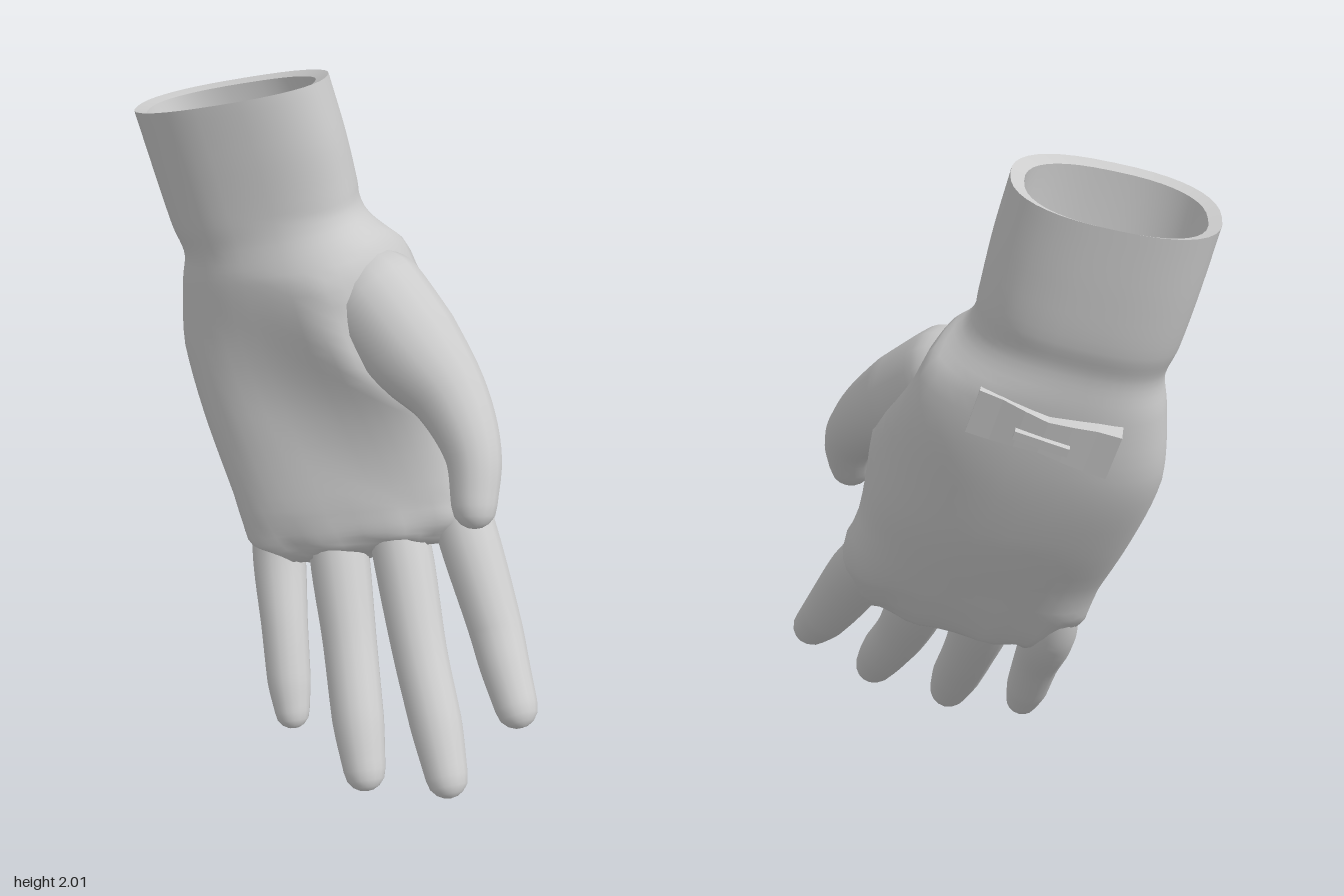
import * as THREE from 'three';

const V = (a) => new THREE.Vector3(...a);
const material = new THREE.MeshStandardMaterial({ color: 0xcccccc, roughness: 0.8 });

// Skin through rings; each ring is [centre, half width vector, half depth vector]
function loft(rings, sides, power = 1) {
  const pos = [], index = [];
  const bend = (t) => Math.sign(t) * Math.abs(t) ** power;
  for (const [c, u, v] of rings) {
    for (let j = 0; j < sides; j++) {
      const a = (j / sides) * Math.PI * 2;
      const p = c.clone().addScaledVector(u, bend(Math.cos(a))).addScaledVector(v, bend(Math.sin(a)));
      pos.push(p.x, p.y, p.z);
    }
  }
  for (let i = 0; i < rings.length - 1; i++) {
    for (let j = 0; j < sides; j++) {
      const k = (j + 1) % sides;
      const a = i * sides + j, b = i * sides + k, c = a + sides, d = b + sides;
      index.push(a, b, c, b, d, c);
    }
  }
  const g = new THREE.BufferGeometry();
  g.setAttribute('position', new THREE.Float32BufferAttribute(pos, 3));
  g.setIndex(index);
  g.computeVertexNormals();
  return g;
}

// Smooth in-between rings
function refine(rings, steps) {
  const curves = [0, 1, 2].map((k) => new THREE.CatmullRomCurve3(rings.map((r) => r[k])));
  const n = (rings.length - 1) * steps;
  return Array.from({ length: n + 1 }, (_, i) => curves.map((c) => c.getPoint(i / n)));
}

// Samples { c, t, r } along points [x, y, z, radius], closed by a rounded tip
function spine(points) {
  const path = new THREE.CatmullRomCurve3(points.map((p) => V(p)));
  const radii = new THREE.CatmullRomCurve3(points.map((p) => new THREE.Vector3(p[3], 0, 0)));
  const n = (points.length - 1) * 6;
  const list = [{ c: path.getPoint(0), t: path.getTangent(0), r: 1e-4 }];
  for (let i = 0; i <= n; i++) {
    list.push({ c: path.getPoint(i / n), t: path.getTangent(i / n), r: radii.getPoint(i / n).x });
  }
  const { c, t, r } = list.at(-1);
  for (const deg of [28, 52, 72, 90]) {
    const a = THREE.MathUtils.degToRad(deg);
    list.push({ c: c.clone().addScaledVector(t, r * Math.sin(a)), t, r: r * Math.cos(a) + 1e-4 });
  }
  return list;
}

function digit(samples) {
  const across = V([0.93, 0.15, 0.33]);
  return loft(samples.map(({ c, t, r }) => {
    const u = across.clone().addScaledVector(t, -across.dot(t)).normalize();
    const v = new THREE.Vector3().crossVectors(t, u);
    return [c, u.multiplyScalar(r), v.multiplyScalar(r * 0.97)];
  }), 16);
}

// Swell the palm where a digit grows out of it, so the joints are filleted; the cuff stays as it is
function fillet(geometry, digits) {
  const p = geometry.attributes.position, normal = geometry.attributes.normal;
  for (let i = 0; i < p.count; i++) {
    const point = new THREE.Vector3().fromBufferAttribute(p, i);
    let push = 0;
    for (const { samples, blend } of digits) {
      const d = Math.min(...samples.map((s) => s.c.distanceTo(point) - s.r));
      push = Math.max(push, (Math.max(0, 1 - Math.abs(d) / blend) ** 2 * blend) / 4);
    }
    push *= THREE.MathUtils.clamp((1.64 - point.y) / 0.18, 0, 1);
    point.addScaledVector(new THREE.Vector3().fromBufferAttribute(normal, i), push);
    p.setXYZ(i, point.x, point.y, point.z);
  }
  geometry.computeVertexNormals();
  return geometry;
}

export function createModel() {
  const group = new THREE.Group();
  const add = (name, geometry, parent = group) => {
    const m = new THREE.Mesh(geometry, material);
    m.name = name;
    parent.add(m);
    return m;
  };

  // Fingers and thumb
  const digits = [
    ['indexFinger', 0.09, [[0.28, 0.96, -0.09, 0.03], [0.34, 0.82, -0.035, 0.08], [0.38, 0.68, 0.08, 0.092],
      [0.44, 0.47, 0.27, 0.081], [0.455, 0.4, 0.35, 0.075], [0.477, 0.317, 0.447, 0.064]]],
    ['middleFinger', 0.09, [[0.13, 0.85, -0.08, 0.03], [0.165, 0.74, -0.045, 0.08], [0.19, 0.6, 0.05, 0.092],
      [0.22, 0.38, 0.24, 0.083], [0.25, 0.23, 0.39, 0.079], [0.27, 0.115, 0.5, 0.064]]],
    ['ringFinger', 0.09, [[-0.02, 0.8, -0.14, 0.03], [0, 0.69, -0.1, 0.08], [0.005, 0.56, -0.02, 0.092],
      [0.02, 0.36, 0.13, 0.083], [0.03, 0.18, 0.29, 0.079], [0.04, 0.062, 0.385, 0.064]]],
    ['littleFinger', 0.09, [[-0.17, 0.75, -0.17, 0.03], [-0.178, 0.645, -0.145, 0.07], [-0.175, 0.52, -0.095, 0.082],
      [-0.17, 0.35, 0.03, 0.072], [-0.165, 0.21, 0.12, 0.067], [-0.16, 0.13, 0.17, 0.054]]],
    ['thumb', 0.32, [[0.01, 1.47, -0.26, 0.03], [0.05, 1.44, -0.2, 0.1], [0.115, 1.38, -0.12, 0.155],
      [0.21, 1.28, 0, 0.148], [0.305, 1.18, 0.12, 0.11], [0.355, 1.06, 0.24, 0.082], [0.35, 0.94, 0.32, 0.066]]],
  ].map(([name, blend, points]) => ({ name, blend, samples: spine(points) }));
  for (const { name, samples } of digits) add(name, digit(samples));

  // Cuff, wrist and palm, from the rim down to the finger roots
  const hand = [
    [[-0.27, 1.937, -0.345], [0.265, 0.057, 0.062], [-0.05, 0.03, 0.198]],
    [[-0.225, 1.77, -0.335], [0.266, 0.062, 0.062], [-0.05, 0.03, 0.193]],
    [[-0.185, 1.61, -0.322], [0.26, 0.068, 0.06], [-0.05, 0.02, 0.186]],
    [[-0.165, 1.53, -0.305], [0.25, 0.065, 0.065], [-0.05, 0.02, 0.175]],
    [[-0.14, 1.42, -0.288], [0.282, 0.06, 0.082], [-0.05, 0.03, 0.178]],
    [[-0.09, 1.21, -0.25], [0.335, 0.06, 0.105], [-0.05, 0.04, 0.172]],
    [[-0.015, 0.98, -0.18], [0.355, 0.06, 0.085], [-0.04, 0.035, 0.16]],
    [[0.06, 0.75, -0.08], [0.35, 0.07, 0.075], [-0.03, 0.035, 0.128]],
    [[0.085, 0.655, -0.035], [0.325, 0.08, 0.08], [-0.02, 0.045, 0.098]],
    [[0.095, 0.6, -0.02], [0.265, 0.075, 0.07], [-0.01, 0.04, 0.06]],
    [[0.095, 0.58, -0.015], [0.001, 0, 0], [0, 0, 0.001]],
  ].map((r) => r.map(V));
  add('palmAndCuff', fillet(loft(refine(hand, 5), 40, 0.82), digits));

  // Cuff opening: thick rim and hollow lining
  const inset = (r, s) => [r[0].clone(), r[1].clone().multiplyScalar(s), r[2].clone().multiplyScalar(s)];
  const innerRim = inset(hand[0], 0.87);
  innerRim[0].y -= 0.012;
  add('cuffRim', loft([innerRim, hand[0]], 40, 0.82));
  add('cuffLining', loft([inset(hand[3], 0.01), inset(hand[3], 0.4), inset(hand[2], 0.68),
    inset(hand[1], 0.83), innerRim], 40, 0.82));

  // Fastening tab across the back of the wrist: flared ends, dipped middle
  const tab = new THREE.Group();
  tab.name = 'wristTab';
  const x = V([0.32, 0.11, 0.1]).normalize();
  const z = V([0.33, -0.08, -0.93]);
  z.addScaledVector(x, -z.dot(x)).normalize();
  const y = new THREE.Vector3().crossVectors(z, x);
  tab.applyMatrix4(new THREE.Matrix4().makeBasis(x, y, z).setPosition(-0.06, 1.35, -0.458));
  group.add(tab);
  let plate = new THREE.BoxGeometry(0.39, 0.13, 0.08, 6, 1, 1);
  const p = plate.attributes.position;
  for (let i = 0; i < p.count; i++) {
    const e = Math.min(1, Math.abs(p.getX(i)) / 0.15);
    p.setY(i, p.getY(i) * (0.72 + 0.28 * e));
    p.setZ(i, p.getZ(i) - (p.getZ(i) > 0 ? 0.013 : 0.025) * e * e);
  }
  plate = plate.toNonIndexed();
  plate.computeVertexNormals();
  add('tabPlate', plate, tab);
  add('tabBar', new THREE.BoxGeometry(0.15, 0.025, 0.025), tab).position.set(0, 0.012, 0.045);

  return group;
}
